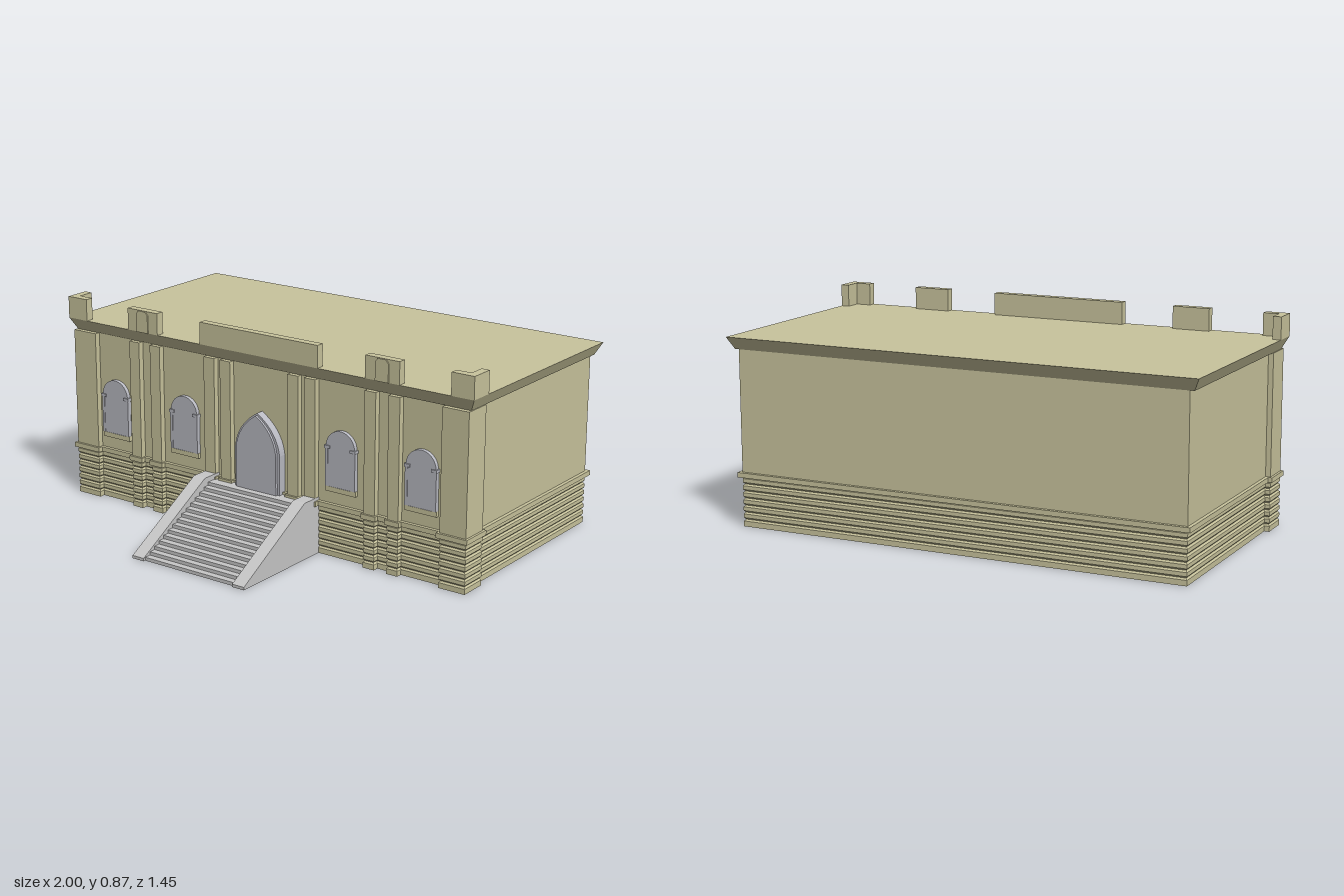
import * as THREE from 'three';

const mat = (name, color) => {
  const m = new THREE.MeshStandardMaterial({ color });
  m.name = name;
  return m;
};

export function createModel() {
  const model = new THREE.Group();
  const wallMat = mat('sandstone', 0xc9c49d);
  const stairMat = mat('stair stone', 0xc8c8c8);
  const trimMat = mat('trim stone', 0xb9bac2);
  const doorMat = mat('dark wood', 0x412a0f);
  const paneMat = mat('amber glass', 0xd8a850);
  const barMat = mat('window bars', 0xd6d2c8);

  const add = (name, geo, material, parent = model) => {
    const mesh = new THREE.Mesh(geo, material);
    mesh.name = name;
    parent.add(mesh);
    return mesh;
  };
  const box = (name, x0, x1, y0, y1, z0, z1, material, parent) =>
    add(name, new THREE.BoxGeometry(x1 - x0, y1 - y0, z1 - z0)
      .translate((x0 + x1) / 2, (y0 + y1) / 2, (z0 + z1) / 2), material, parent);

  // Stack of rectangles: each row is [height, outward offset]
  const loft = (x0, x1, z0, z1, rows) => {
    const rings = rows.map(([y, o]) => [
      [x0 - o, y, z1 + o], [x1 + o, y, z1 + o], [x1 + o, y, z0 - o], [x0 - o, y, z0 - o]]);
    const v = [];
    const quad = (a, b, c, d) => v.push(...a, ...b, ...c, ...a, ...c, ...d);
    for (let r = 0; r + 1 < rings.length; r++) {
      for (let i = 0; i < 4; i++) {
        const j = (i + 1) % 4;
        quad(rings[r][i], rings[r][j], rings[r + 1][j], rings[r + 1][i]);
      }
    }
    quad(...rings[rings.length - 1]);
    quad(...[...rings[0]].reverse());
    const g = new THREE.BufferGeometry();
    g.setAttribute('position', new THREE.Float32BufferAttribute(v, 3));
    g.computeVertexNormals();
    return g;
  };

  // Grooved stone courses of the base
  const courses = [[0, 0]];
  const count = 7, h = 0.205 / count;
  for (let k = 1; k <= count; k++) {
    courses.push([k * h - 0.007, 0], [k * h, -0.006]);
    if (k < count) courses.push([k * h + 0.007, 0]);
  }

  // A wall block or pilaster: grooved base, string course and plain shaft
  const block = (name, x0, x1, z0, z1, lip) => {
    const g = new THREE.Group();
    g.name = name;
    model.add(g);
    add('groovedBase', loft(x0, x1, z0, z1, courses), wallMat, g);
    box('stringCourse', x0 - lip, x1 + lip, 0.205, 0.225, z0 - lip, z1 + lip, wallMat, g);
    box('shaft', x0, x1, 0.225, 0.725, z0, z1, wallMat, g);
  };
  block('mainWalls', -0.957, 0.957, -0.7, 0.235, 0.015);
  for (const s of [-1, 1]) {
    const span = (a, b) => (s > 0 ? [a, b] : [-b, -a]);
    block('cornerPilaster', ...span(0.86, 0.978), 0.14, 0.26, 0.01);
    for (const [a, b] of [[0.143, 0.195], [0.224, 0.278], [0.51, 0.562], [0.62, 0.672]])
      block('pilaster', ...span(a, b), 0.2, 0.26, 0.008);

    // Parapet pieces over corners and paired pilasters
    box('cornerParapetFront', ...span(0.9, 1), 0.775, 0.867, 0.23, 0.265, wallMat);
    box('cornerParapetSide', ...span(0.965, 1), 0.775, 0.867, 0.16, 0.23, wallMat);
    box('pairParapet', ...span(0.515, 0.672), 0.775, 0.867, 0.23, 0.265, wallMat);
    const [p, q] = span(0.563, 0.624);
    const plate = new THREE.Shape([[p, 0.775], [q, 0.775], [q, 0.85], [q - 0.012, 0.865],
      [p + 0.012, 0.865], [p, 0.85]].map(([x, y]) => new THREE.Vector2(x, y)));
    add('parapetPlate', new THREE.ExtrudeGeometry(plate, { depth: 0.007, bevelEnabled: false })
      .translate(0, 0, 0.263), wallMat);
  }
  box('centreParapet', -0.292, 0.292, 0.775, 0.867, 0.23, 0.265, wallMat);

  // Flared cornice closing the flat roof
  add('corniceRoof', loft(-0.957, 0.957, -0.7, 0.235, [[0.725, 0], [0.775, 0.001]]), wallMat);
  add('corniceFlare', loft(-0.96, 0.96, -0.7, 0.24,
    [[0.725, 0], [0.775, 0.025]]).scale(1.0152, 1, 1), wallMat);

  // Arch outlines: round for windows, pointed for the door
  const trace = (path, w, y0, spring, apex) => {
    path.moveTo(-w, y0);
    path.lineTo(w, y0);
    path.lineTo(w, spring);
    if (apex) {
      path.quadraticCurveTo(w * 0.9, spring + (apex - spring) * 0.62, 0, apex);
      path.quadraticCurveTo(-w * 0.9, spring + (apex - spring) * 0.62, -w, spring);
    } else path.absarc(0, spring, w, 0, Math.PI, false);
    path.lineTo(-w, y0);
    return path;
  };
  const arch = (outer, inner, z, depth) => {
    const shape = trace(new THREE.Shape(), ...outer);
    if (inner) shape.holes.push(trace(new THREE.Path(), ...inner));
    return new THREE.ExtrudeGeometry(shape, { depth, bevelEnabled: false, curveSegments: 14 })
      .translate(0, 0, z);
  };

  // Arched windows with glazing bars
  for (const x of [-0.766, -0.393, 0.393, 0.766]) {
    const w = new THREE.Group();
    w.name = 'window';
    w.position.x = x;
    model.add(w);
    add('frame', arch([0.068, 0.3, 0.466], [0.052, 0.299, 0.466], 0.23, 0.022), trimMat, w);
    add('innerFrame', arch([0.056, 0.3, 0.466], [0.047, 0.306, 0.466], 0.23, 0.014), trimMat, w);
    add('pane', arch([0.052, 0.301, 0.466], null, 0.23, 0.009), paneMat, w);
    for (const s of [-1, 1]) {
      box('capital', s * 0.061 - 0.013, s * 0.061 + 0.013, 0.456, 0.468, 0.23, 0.257, trimMat, w);
      box('jamb', s * 0.065 - 0.006, s * 0.065 + 0.006, 0.3, 0.456, 0.23, 0.254, trimMat, w);
    }
    for (const bx of [-0.03, 0, 0.03])
      box('uprightBar', bx - 0.002, bx + 0.002, 0.303, bx ? 0.462 : 0.51, 0.237, 0.243, barMat, w);
    for (const by of [0.34, 0.38, 0.42])
      box('crossBar', -0.05, 0.05, by - 0.0015, by + 0.0015, 0.237, 0.243, barMat, w);
    box('transom', -0.05, 0.05, 0.459, 0.466, 0.237, 0.245, trimMat, w);
    add('fanArc', new THREE.RingGeometry(0.025, 0.029, 14, 1, 0, Math.PI)
      .translate(0, 0.466, 0.242), barMat, w);
    for (const a of [0.78, 2.36])
      add('fanBar', new THREE.BoxGeometry(0.025, 0.003, 0.006).translate(0.038, 0, 0)
        .rotateZ(a).translate(0, 0.466, 0.24), barMat, w);
    box('sill', -0.072, 0.072, 0.278, 0.3, 0.23, 0.25, wallMat, w);
  }

  // Pointed doorway with stepped surround
  add('doorSurroundOuter', arch([0.112, 0.215, 0.38, 0.54], [0.092, 0.214, 0.38, 0.525], 0.23, 0.04), trimMat);
  add('doorSurroundMiddle', arch([0.1, 0.215, 0.38, 0.531], [0.08, 0.214, 0.38, 0.517], 0.23, 0.05), trimMat);
  add('doorSurroundInner', arch([0.084, 0.215, 0.38, 0.52], [0.07, 0.214, 0.38, 0.508], 0.23, 0.03), trimMat);
  add('door', arch([0.074, 0.215, 0.38, 0.512], null, 0.23, 0.012), doorMat);
  box('doorMeetingStrip', -0.003, 0.003, 0.215, 0.495, 0.24, 0.246, doorMat);
  for (const x of [-0.01, 0.01])
    box('doorHandle', x - 0.003, x + 0.003, 0.335, 0.36, 0.24, 0.25, doorMat);

  // Stair flight as one stepped profile, between sloped cheek walls
  const sideExtrude = (points, width) => {
    const shape = new THREE.Shape(points.map(([z, y]) => new THREE.Vector2(-z, y)));
    return new THREE.ExtrudeGeometry(shape, { depth: width, bevelEnabled: false }).rotateY(Math.PI / 2);
  };
  const steps = 15, rise = 0.215 / steps, run = 0.4 / (steps - 1);
  const profile = [[0.23, 0], [0.23, 0.215]];
  for (let i = 0; i < steps; i++) {
    const z = 0.31 + i * run;
    profile.push([z, 0.215 - i * rise], [z, 0.215 - (i + 1) * rise]);
  }
  add('steps', sideExtrude(profile, 0.45).translate(-0.225, 0, 0), stairMat);
  const cheek = [[0.23, 0], [0.23, 0.237], [0.325, 0.237], [0.335, 0.234], [0.72, 0.012], [0.72, 0]];
  for (const x of [-0.279, 0.222])
    add('stairCheek', sideExtrude(cheek, 0.057).translate(x, 0, 0), stairMat);

  return model;
}
